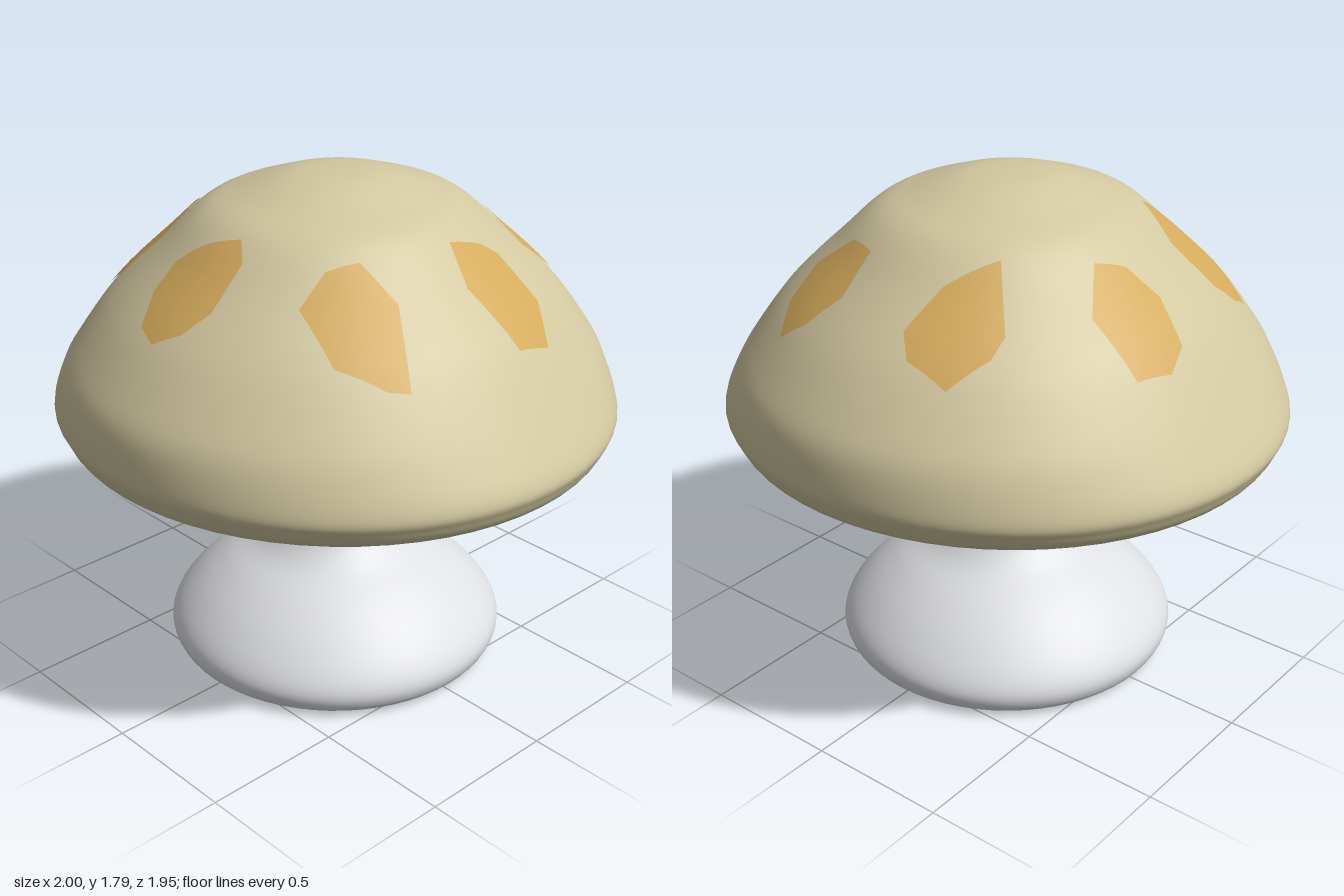
import * as THREE from 'three';
import { mergeVertices } from 'three/addons/utils/BufferGeometryUtils.js';

const v2 = ([x, y]) => new THREE.Vector2(x, y);

// Cap profile (radius, height) from the lower rim to the crown
const capCurve = new THREE.SplineCurve([
  [0.88, 0.87], [0.95, 0.89], [0.985, 0.94], [0.995, 1.0], [0.92, 1.13], [0.80, 1.31],
  [0.71, 1.42], [0.57, 1.555], [0.435, 1.68], [0.31, 1.735], [0.15, 1.785], [0, 1.795],
].map(v2));

// Stalk profile from the foot to the cap
const stalkCurve = new THREE.SplineCurve([
  [0.54, 0.005], [0.59, 0.03], [0.61, 0.09], [0.58, 0.16], [0.5, 0.25], [0.4, 0.33],
  [0.28, 0.405], [0.21, 0.48], [0.185, 0.56], [0.172, 0.7], [0.162, 0.89],
].map(v2));

// The cap is slightly narrow front to back at the rim and fuller higher up
const depthScale = (y) => THREE.MathUtils.lerp(0.97, 1.06, THREE.MathUtils.smoothstep(y, 0.95, 1.2));

// Spot outlines as seen from above: x, z pairs
const spots = [
  [-.14, .57, -.06, .52, .07, .47, .13, .52, .14, .66, .09, .74, 0, .79, -.09, .76, -.145, .66],
  [-.66, .41, -.63, .32, -.50, .25, -.34, .30, -.37, .45, -.49, .54, -.64, .51],
  [.41, .28, .55, .25, .72, .36, .68, .42, .55, .52, .37, .50, .36, .38],
  [-.74, -.28, -.57, -.29, -.48, -.16, -.53, -.06, -.63, -.01, -.75, -.05, -.78, -.15],
  [.51, -.25, .65, -.30, .77, -.22, .77, -.08, .60, -.01, .48, -.05, .49, -.19],
  [-.35, -.73, -.20, -.735, -.14, -.68, -.18, -.54, -.29, -.39, -.42, -.53, -.42, -.60],
  [.25, -.725, .35, -.74, .42, -.62, .41, -.49, .27, -.46, .145, -.515, .15, -.65],
];

function smoothLathe(curve, steps, scaleZ) {
  let geo = new THREE.LatheGeometry(curve.getPoints(steps), 64);
  const p = geo.attributes.position;
  for (let i = 0; i < p.count; i++) p.setZ(i, p.getZ(i) * scaleZ(p.getY(i)));
  geo.deleteAttribute('normal');
  geo.deleteAttribute('uv');
  geo = mergeVertices(geo, 1e-5);
  geo.computeVertexNormals();
  return geo;
}

// Height of the cap above a point, found by bisection along the profile
function capHeight(x, z) {
  let lo = 0.3, hi = 1;
  for (let i = 0; i < 30; i++) {
    const mid = (lo + hi) / 2, p = capCurve.getPoint(mid);
    if (Math.hypot(x, z / depthScale(p.y)) < p.x) lo = mid; else hi = mid;
  }
  return capCurve.getPoint(lo).y;
}

// A thin patch that hugs the cap inside an outline
function spotGeometry(flat) {
  const corners = [];
  for (let i = 0; i < flat.length; i += 2) corners.push(v2([flat[i], flat[i + 1]]));
  if (!THREE.ShapeUtils.isClockWise(corners)) corners.reverse();
  const centre = corners.reduce((s, c) => s.add(c), v2([0, 0])).divideScalar(corners.length);
  const edge = [], split = 4, rings = 6;
  corners.forEach((c, i) => {
    const next = corners[(i + 1) % corners.length];
    for (let k = 0; k < split; k++) edge.push(c.clone().lerp(next, k / split));
  });
  const n = edge.length, pos = [], index = [];
  const add = (p) => pos.push(p.x, capHeight(p.x, p.y) + 0.008, p.y);
  add(centre);
  for (let r = 1; r <= rings; r++) edge.forEach((e) => add(centre.clone().lerp(e, r / rings)));
  for (let i = 0; i < n; i++) {
    const j = (i + 1) % n;
    index.push(0, 1 + i, 1 + j);
    for (let r = 1; r < rings; r++) {
      const a = 1 + (r - 1) * n, b = a + n;
      index.push(a + i, b + i, b + j, a + i, b + j, a + j);
    }
  }
  const geo = new THREE.BufferGeometry();
  geo.setAttribute('position', new THREE.Float32BufferAttribute(pos, 3));
  geo.setIndex(index);
  geo.computeVertexNormals();
  return geo;
}

export function createModel() {
  const group = new THREE.Group();
  const material = (name, color) => {
    const m = new THREE.MeshStandardMaterial({ color });
    m.name = name;
    return m;
  };
  const tan = material('tan', 0xd2c8a0);
  const ochre = material('ochre', 0xd4ab5c);
  const white = material('white', 0xdfe0e3);

  const add = (name, geo, mat) => {
    const mesh = new THREE.Mesh(geo, mat);
    mesh.name = name;
    group.add(mesh);
  };
  // Flat disc facing down
  const disc = (rx, rz, y) =>
    new THREE.CircleGeometry(1, 64).rotateX(Math.PI / 2).scale(rx, 1, rz).translate(0, y, 0);

  add('stalk', smoothLathe(stalkCurve, 60, () => 1), white);
  add('stalkFoot', disc(0.54, 0.54, 0.005), white);
  add('cap', smoothLathe(capCurve, 66, depthScale), tan);
  add('capUnderside', disc(0.88, 0.88 * 0.97, 0.87), tan);
  spots.forEach((s, i) => add('spot' + (i + 1), spotGeometry(s), ochre));

  // Rest on the ground
  group.children.forEach((m) => m.geometry.translate(0, -0.005, 0));
  return group;
}
